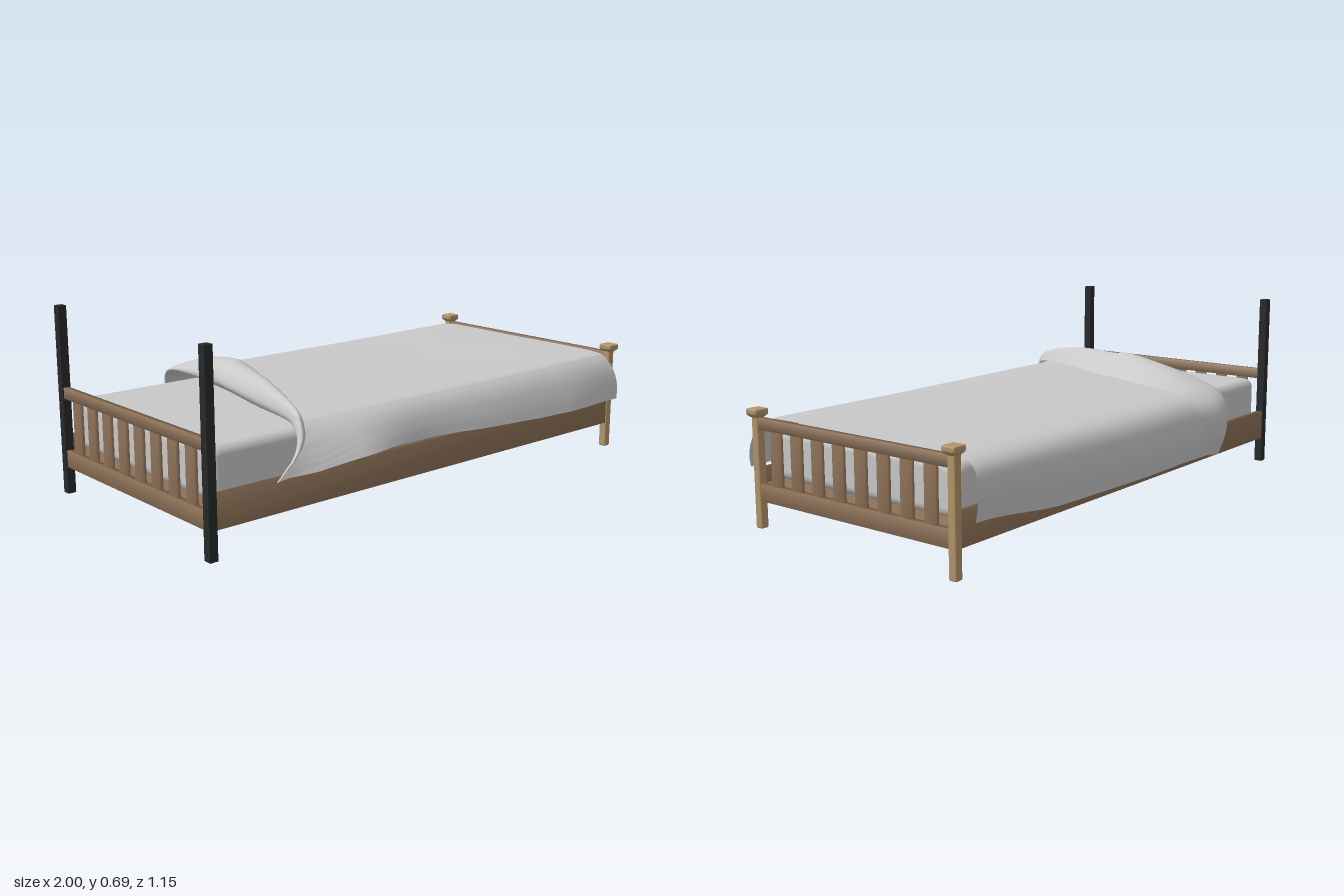
import * as THREE from 'three';
import { mergeVertices } from 'three/addons/utils/BufferGeometryUtils.js';
import { RoundedBoxGeometry } from 'three/addons/geometries/RoundedBoxGeometry.js';

const mat = (name, color, side = THREE.FrontSide) => {
  const m = new THREE.MeshStandardMaterial({ color, side });
  m.name = name;
  return m;
};

// Blanket stations from the front hem, over the bed, to the back hem:
// z, y, x of the folded edge, x of the turned-back edge, fold height
const STATIONS = [
  [0.528, 0.21, -0.75, -0.745, 0], [0.513, 0.265, -0.7, -0.69, 0.006],
  [0.487, 0.325, -0.67, -0.645, 0.015], [0.45, 0.368, -0.66, -0.62, 0.03],
  [0.4, 0.385, -0.655, -0.595, 0.05], [0.2, 0.388, -0.635, -0.5, 0.08],
  [0, 0.387, -0.595, -0.41, 0.085], [-0.1, 0.387, -0.58, -0.375, 0.092],
  [-0.3, 0.388, -0.56, -0.31, 0.06], [-0.42, 0.385, -0.545, -0.295, 0.03],
  [-0.49, 0.366, -0.53, -0.29, 0.022], [-0.528, 0.32, -0.51, -0.295, 0.03],
  [-0.54, 0.24, -0.48, -0.34, 0.025], [-0.53, 0.15, -0.45, -0.38, 0.01],
];
// Fold outline: fraction of fold width, fraction of fold height
const FOLD = new THREE.SplineCurve([
  [0.12, 0], [0, 0.3], [0.1, 0.75], [0.3, 1], [0.52, 0.95], [0.8, 0.5], [1, 0.14],
].map(p => new THREE.Vector2(...p)));

function blanketGeometry() {
  const curve = f => new THREE.CatmullRomCurve3(STATIONS.map(f), false, 'catmullrom', 0.5);
  const sect = curve(s => new THREE.Vector3(s[2], s[1], s[0]));
  const fold = curve(s => new THREE.Vector3(s[3], s[4], 0));
  // Rise of the front hem along the bed
  const hemPts = new THREE.SplineCurve([[-0.75, 0], [-0.45, 0.05], [0, 0.035], [0.55, 0.005], [0.97, -0.005]]
    .map(p => new THREE.Vector2(...p))).getPoints(60);
  const hemLift = x => (hemPts.find(p => p.x >= x) || hemPts[60]).y;
  const { clamp, lerp, smoothstep } = THREE.MathUtils;
  const NV = 70, NF = 40, NC = 18, cols = NF + NC + 1;
  const pos = [], idx = [];
  for (let i = 0; i <= NV; i++) {
    const v = i / NV, b = sect.getPoint(v), f = fold.getPoint(v);
    const t0 = sect.getPoint(Math.max(0, v - 0.01)), t1 = sect.getPoint(Math.min(1, v + 0.01));
    const n = new THREE.Vector2(t1.y - t0.y, t0.z - t1.z).normalize(); // outward (z, y)
    const drop = clamp((0.385 - b.y) / 0.175, 0, 1.2), hang = Math.min(drop, 1);
    const w = f.x - b.x, start = b.x + 0.12 * w;
    const foot = 0.945 + (b.z > 0 ? 0.03 : 0.012) * Math.sin(hang * 2.4);
    for (let j = 0; j < cols; j++) {
      let x, off = 0;
      if (j <= NF) x = lerp(foot, start, j / NF);
      else {
        const p = FOLD.getPoint((j - NF) / NC);
        x = b.x + p.x * w;
        off = p.y * f.y + 0.006 * (j - NF) / NC;
      }
      const swell = Math.exp(-(((x + 0.45) / 0.17) ** 2));
      let y = b.y + n.y * off + 0.004 * smoothstep(x, 0.2, 0.9), z = b.z + n.x * off;
      if (b.z > 0) {
        y += drop * hemLift(x);
        z += hang * (0.045 * swell - 0.05 * (1 - smoothstep(x, -0.75, -0.6)) - 0.025 * smoothstep(x, 0.65, 0.97)
          - 0.012 * Math.exp(-(((x + 0.1) / 0.18) ** 2)));
      } else {
        y += drop * 0.03 * smoothstep(x, 0.5, 0.95);
        z += hang * (0.012 * smoothstep(x, 0, 0.95) - 0.012 * swell - 0.01 * Math.exp(-((x / 0.3) ** 2)));
      }
      pos.push(x, y, z);
    }
  }
  for (let i = 0; i < NV; i++) for (let j = 0; j < cols - 1; j++) {
    const a = i * cols + j, c = a + cols;
    idx.push(a, c, a + 1, a + 1, c, c + 1);
  }
  const g = new THREE.BufferGeometry();
  g.setAttribute('position', new THREE.Float32BufferAttribute(pos, 3));
  g.setIndex(idx);
  g.computeVertexNormals();
  return g;
}

// Box with softly blended normals, as on worn timber
function timber(w, h, d) {
  const g = new THREE.BoxGeometry(w, h, d);
  g.deleteAttribute('normal');
  g.deleteAttribute('uv');
  const soft = mergeVertices(g);
  soft.computeVertexNormals();
  return soft;
}

export function createModel() {
  const root = new THREE.Group();
  root.name = 'bed';
  const wood = mat('brown wood', 0x8e7258);
  const post = mat('light wood', 0xb1946a);
  const dark = mat('dark post', 0x272829);
  const cloth = mat('grey cloth', 0xc8c8c8, THREE.DoubleSide);

  const add = (name, geo, m, x = 0, y = 0, z = 0, parent = root) => {
    const mesh = new THREE.Mesh(geo, m);
    mesh.name = name;
    mesh.position.set(x, y, z);
    parent.add(mesh);
  };
  // Timber given by its limits
  const beam = (name, x0, x1, y0, y1, z0, z1, parent) =>
    add(name, timber(x1 - x0, y1 - y0, z1 - z0), wood, (x0 + x1) / 2, (y0 + y1) / 2, (z0 + z1) / 2, parent);

  // Posts and side rails, mirrored front to back
  for (const s of [-1, 1]) {
    const z = s * 0.449;
    add('headPost', new THREE.BoxGeometry(0.031, 0.688, 0.031), dark, -0.9845, 0.344, z);
    add('footPost', new RoundedBoxGeometry(0.032, 0.4, 0.032, 2, 0.006), post, 0.97, 0.2, z);
    const flare = new THREE.CylinderGeometry(0.038, 0.022, 0.012, 4).toNonIndexed();
    flare.rotateY(Math.PI / 4);
    flare.computeVertexNormals();
    add('capFlare', flare, post, 0.972, 0.4, z);
    add('postCap', new RoundedBoxGeometry(0.056, 0.021, 0.055, 2, 0.006), post, 0.972, 0.415, z);
    beam('sideRail', -0.97, 0.957, 0.1, 0.215, z - 0.012, z + 0.012);
  }

  // Slatted end panels
  for (const [name, x] of [['headboard', -0.985], ['footboard', 0.971]]) {
    const end = new THREE.Group();
    end.name = name;
    root.add(end);
    beam('topRail', x - 0.011, x + 0.011, 0.354, 0.394, -0.435, 0.435, end);
    beam('bottomRail', x - 0.011, x + 0.011, 0.1, 0.162, -0.435, 0.435, end);
    for (let i = 0; i < 8; i++) {
      const z = (i - 3.5) * 0.1014;
      beam('slat', x - 0.007, x + 0.007, 0.16, 0.356, z - 0.024, z + 0.024, end);
    }
  }
  // Dark strip on the inside of the lower head rail
  add('headRailStrip', new THREE.BoxGeometry(0.004, 0.03, 0.6), dark, -0.972, 0.119, 0);

  // Base, mattress and blanket
  add('bedBase', new THREE.BoxGeometry(1.934, 0.025, 0.876), wood, -0.007, 0.1475, 0);
  add('mattress', new RoundedBoxGeometry(1.89, 0.185, 0.856, 5, 0.035), cloth, -0.015, 0.2625, 0);
  add('blanket', blanketGeometry(), cloth);
  return root;
}
